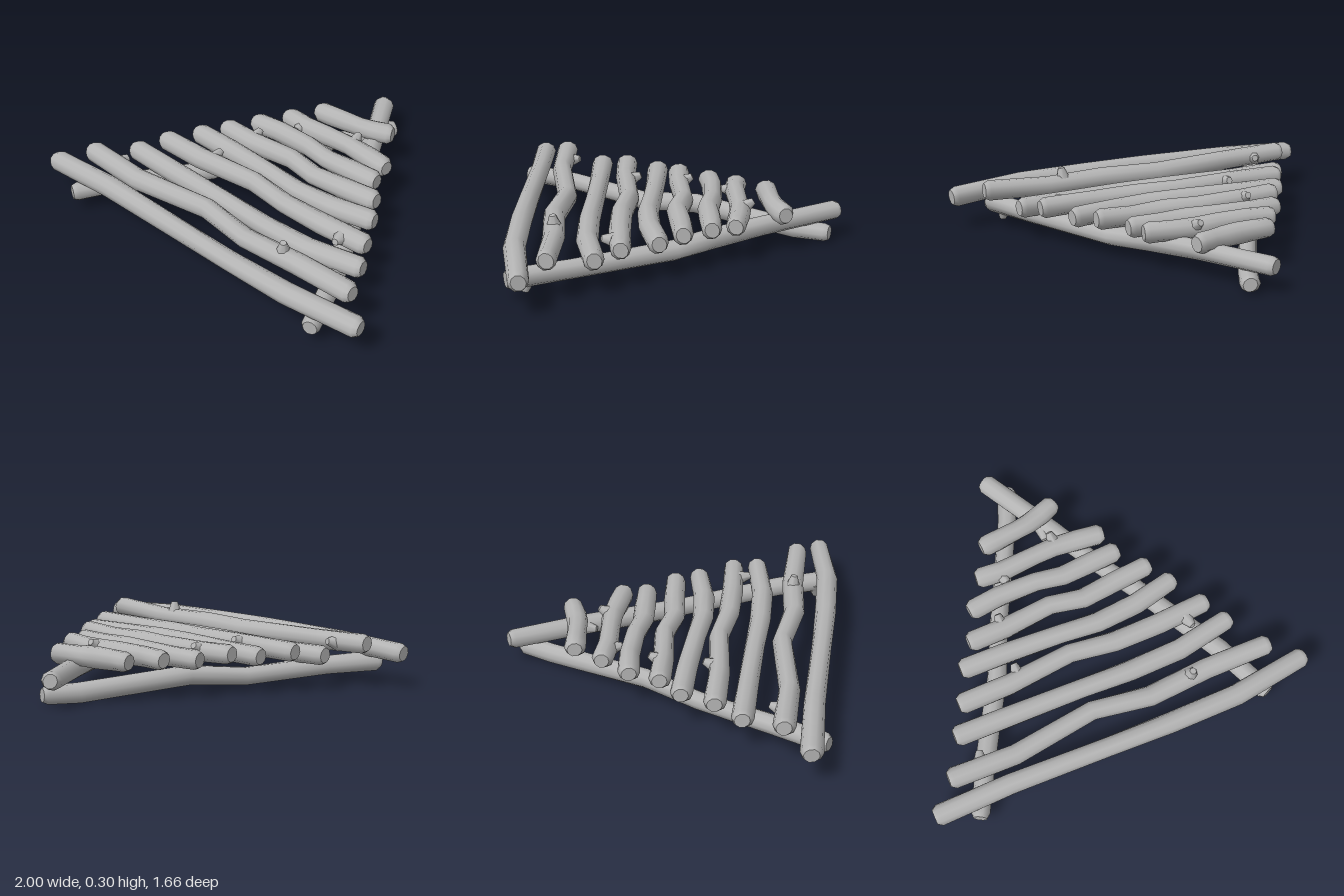
import * as THREE from 'three';

const SIDES = 10;

// A rough log: rings swept along a path, with chamfered, flat-cut ends.
function logGeometry(path, radius) {
  const n = path.length;
  const inset = (a, b) => a.clone().add(b.clone().sub(a).setLength(0.025));
  const centres = [path[0], inset(path[0], path[1]), ...path.slice(1, -1), inset(path[n - 1], path[n - 2]), path[n - 1]];
  const last = centres.length - 1;
  const up = new THREE.Vector3(0, 1, 0);
  const pos = [], idx = [];
  const ring = i => {
    const t = centres[Math.min(i + 1, last)].clone().sub(centres[Math.max(i - 1, 0)]).normalize();
    const side = t.clone().cross(up).normalize();
    const v = side.clone().cross(t);
    const size = i === 0 || i === last ? radius * 0.72 : radius;
    for (let j = 0; j < SIDES; j++) {
      const a = j / SIDES * Math.PI * 2;
      const k = size * (1 + 0.06 * Math.sin(2 * a + i * 1.7));
      const q = centres[i].clone().addScaledVector(side, Math.cos(a) * k).addScaledVector(v, Math.sin(a) * k);
      pos.push(...q.toArray());
    }
  };
  centres.forEach((c, i) => ring(i));
  for (let i = 0; i < last; i++) {
    for (let j = 0; j < SIDES; j++) {
      const a = i * SIDES + j, b = i * SIDES + (j + 1) % SIDES;
      idx.push(a, a + SIDES, b, b, a + SIDES, b + SIDES);
    }
  }
  // cut ends have their own vertices so their edges stay sharp
  for (const end of [0, last]) {
    const s = pos.length / 3;
    ring(end);
    pos.push(...centres[end].toArray());
    for (let j = 0; j < SIDES; j++) {
      const a = s + j, b = s + (j + 1) % SIDES;
      if (end === 0) idx.push(s + SIDES, a, b);
      else idx.push(s + SIDES, b, a);
    }
  }
  const g = new THREE.BufferGeometry();
  g.setAttribute('position', new THREE.Float32BufferAttribute(pos, 3));
  g.setIndex(idx);
  g.computeVertexNormals();
  return g;
}

export function createModel() {
  const group = new THREE.Group();
  const wood = new THREE.MeshStandardMaterial({ color: 0xb4b4b4 });
  wood.name = 'grey wood';
  const add = (name, geometry) => {
    const mesh = new THREE.Mesh(geometry, wood);
    mesh.name = name;
    group.add(mesh);
    return mesh;
  };
  const vec = (x, y, z) => new THREE.Vector3(x, y, z);

  // two rails crossing at the back
  add('leftRail', logGeometry([
    vec(-0.085, 0.145, -0.82), vec(0.13, 0.135, -0.43), vec(0.27, 0.12, -0.17),
    vec(0.39, 0.105, 0.02), vec(0.64, 0.11, 0.5), vec(0.76, 0.105, 0.8)], 0.05));
  add('rightRail', logGeometry([
    vec(0.025, 0.055, -0.77), vec(-0.05, 0.052, -0.6), vec(-0.31, 0.1, -0.1),
    vec(-0.44, 0.072, 0.17), vec(-0.66, 0.105, 0.54), vec(-0.8, 0.11, 0.8)], 0.048));

  // cross slats from back to front; z is given at shared fractions of the length
  const stations = [0, 0.2, 0.45, 0.62, 0.8, 1];
  const slats = [
    { from: -0.25, to: 0.19, y: 0.205, lift: 0, z: [-0.46, -0.465, -0.475, -0.485, -0.505, -0.535] },
    { from: -0.34, to: 0.35, y: 0.205, lift: 0, z: [-0.315, -0.3, -0.31, -0.315, -0.3, -0.28] },
    { from: -0.44, to: 0.38, y: 0.2, lift: 0, z: [-0.17, -0.185, -0.18, -0.155, -0.16, -0.165] },
    { from: -0.51, to: 0.49, y: 0.205, lift: 0.01, z: [-0.015, -0.015, -0.035, 0, -0.015, -0.025] },
    { from: -0.6, to: 0.57, y: 0.2, lift: 0, z: [0.095, 0.105, 0.125, 0.145, 0.135, 0.09] },
    { from: -0.68, to: 0.67, y: 0.21, lift: 0, z: [0.26, 0.265, 0.24, 0.275, 0.28, 0.27] },
    { from: -0.76, to: 0.74, y: 0.175, lift: 0.01, z: [0.395, 0.405, 0.42, 0.435, 0.435, 0.39] },
    { from: -0.87, to: 0.85, y: 0.215, lift: 0.015, z: [0.59, 0.605, 0.555, 0.605, 0.59, 0.605] },
    { from: -1, to: 0.99, y: 0.2, lift: -0.02, z: [0.72, 0.725, 0.75, 0.765, 0.77, 0.72] },
  ];
  slats.forEach(({ from, to, y, lift, z }, i) => {
    const path = stations.map((f, k) =>
      vec(from + (to - from) * f, y + (f === 0 || f === 1 ? lift : 0), z[k]));
    add('slat' + (i + 1), logGeometry(path, 0.052));
  });

  // broken twig stubs
  const addStub = (base, direction) => {
    const stub = add('twigStub', new THREE.CylinderGeometry(0.017, 0.045, 0.08, 7));
    direction.normalize();
    stub.quaternion.setFromUnitVectors(vec(0, 1, 0), direction);
    stub.position.copy(base).addScaledVector(direction, 0.037);
  };
  addStub(vec(-0.7, 0.215, 0.59), vec(0.3, 0.2, -1));
  addStub(vec(0.42, 0.225, 0.59), vec(0.1, 1, 0.1));
  addStub(vec(-0.35, 0.215, 0.255), vec(0, 0.4, -1));
  addStub(vec(0.53, 0.21, 0.29), vec(0.2, 0.2, 1));
  addStub(vec(-0.32, 0.21, -0.015), vec(0, 0.5, -1));
  addStub(vec(0.1, 0.21, -0.315), vec(-0.1, 0.5, -0.8));
  addStub(vec(-0.22, 0.2, -0.3), vec(0.2, 0.2, 0.9));
  addStub(vec(0.71, 0.105, 0.7), vec(0.1, -1, 0.2));
  addStub(vec(0.09, 0.135, -0.47), vec(-0.2, 0, 1));
  return group;
}
